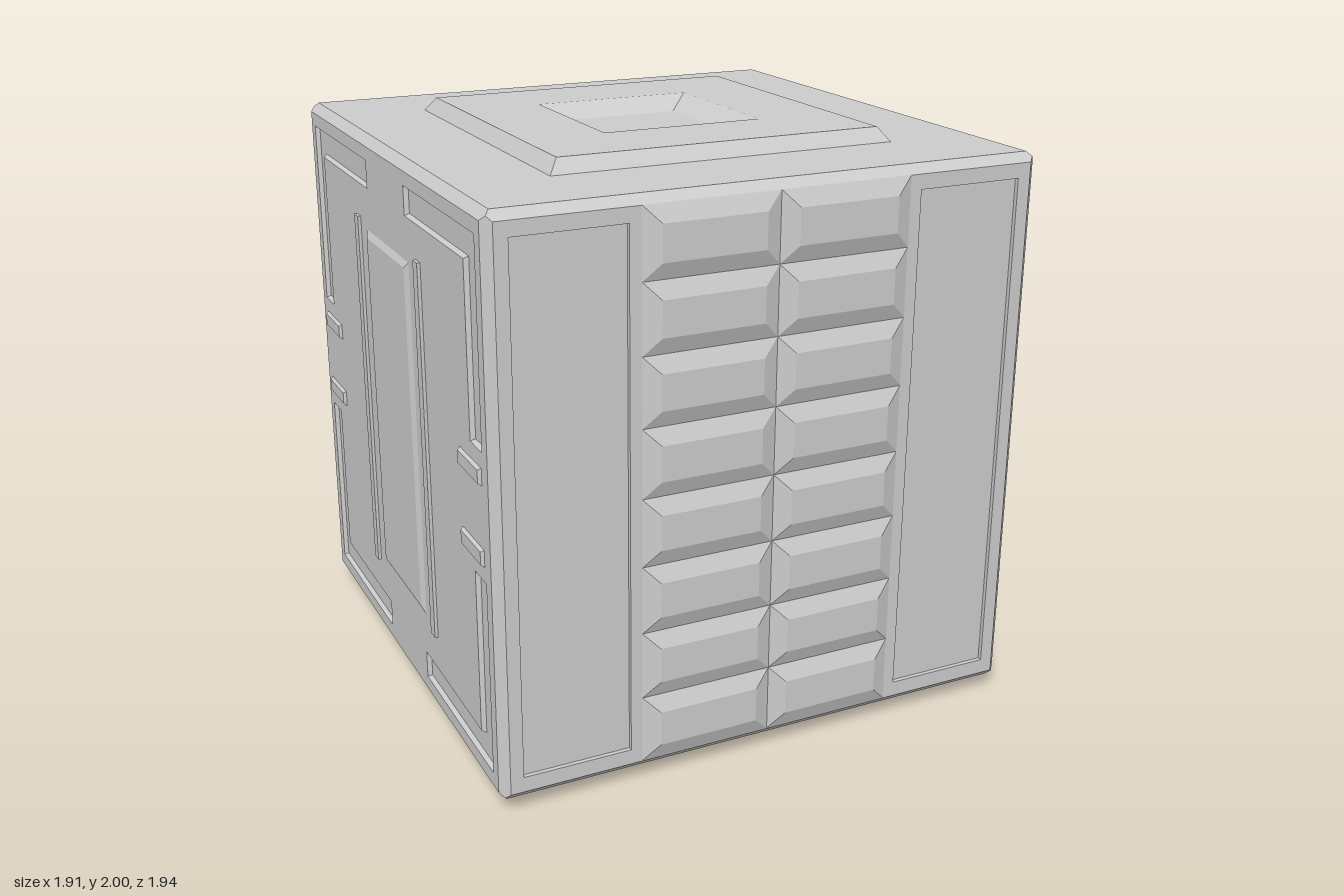
import * as THREE from 'three';
import { mergeGeometries } from 'three/addons/utils/BufferGeometryUtils.js';

const material = new THREE.MeshStandardMaterial({ color: 0xcccccc, flatShading: true });
const HALF = 0.945;     // half width and depth of the body
const HALF_Y = 0.9525;  // half height of the body
const DEPTH = 0.015;    // depth of the recesses; edge chamfers are twice as wide

// Counter-clockwise rectangle from its corners
const rect = (x0, y0, x1, y1) => [[x0, y0], [x1, y0], [x1, y1], [x0, y1]];

// Mirror an outline and keep it counter-clockwise
function mirror(points, sx, sy) {
  const out = points.map(([x, y]) => [x * sx, y * sy]);
  return sx * sy < 0 ? out.reverse() : out;
}

// Move every edge of a right-angled outline inward by d
function inset(points, d) {
  const n = points.length;
  const normal = (a, b) => [-Math.sign(b[1] - a[1]), Math.sign(b[0] - a[0])];
  return points.map((p, i) => {
    const a = normal(points[(i + n - 1) % n], p);
    const b = normal(p, points[(i + 1) % n]);
    return [p[0] + d * (a[0] + b[0]), p[1] + d * (a[1] + b[1])];
  });
}

// Band of quads from an outer outline at z0 to an inner outline at z1
function wall(outer, z0, inner, z1) {
  const pos = [];
  outer.forEach((p, i) => {
    const j = (i + 1) % outer.length;
    const a = [...p, z0], b = [...outer[j], z0], c = [...inner[j], z1], d = [...inner[i], z1];
    pos.push(...a, ...b, ...c, ...a, ...c, ...d);
  });
  const g = new THREE.BufferGeometry();
  g.setAttribute('position', new THREE.Float32BufferAttribute(pos, 3));
  g.computeVertexNormals();
  return g;
}

// Flat face with holes at height z
function cap(outline, z, holes = []) {
  const toVec = (pts) => pts.map(([x, y]) => new THREE.Vector2(x, y));
  const shape = new THREE.Shape(toVec(outline));
  shape.holes = holes.map((h) => new THREE.Path(toVec(h)));
  const g = new THREE.ShapeGeometry(shape).toNonIndexed();
  g.deleteAttribute('uv');
  return g.translate(0, 0, z);
}

function add(parent, name, geometries) {
  const mesh = new THREE.Mesh(mergeGeometries(geometries), material);
  mesh.name = name;
  parent.add(mesh);
}

// Raised pad with sloping sides
function pad(parent, name, outline, bevel, z0, z1) {
  const top = inset(outline, bevel);
  add(parent, name, [wall(outline, z0, top, z1), cap(top, z1)]);
}

// Chamfered face plate, with recesses given as { outline, bevel }
function plate(parent, hx, hy, d, recesses = []) {
  const base = rect(-hx + DEPTH, -hy + DEPTH, hx - DEPTH, hy - DEPTH);
  const top = inset(base, DEPTH);
  add(parent, 'facePlate', [
    wall(base, d - DEPTH, top, d),
    cap(top, d, recesses.map((r) => r.outline)),
    ...recesses.map((r) => wall(r.outline, d, inset(r.outline, r.bevel), d - DEPTH)),
  ]);
}

// Front and back: two tall recesses beside a double column of louvres
function louvredFace() {
  const face = new THREE.Group();
  face.name = 'louvredFace';
  const tall = rect(0.5, -0.87, 0.87, 0.873);
  plate(face, HALF, HALF_Y, HALF, [1, -1].map((s) => ({ outline: mirror(tall, s, 1), bevel: 0 })));
  const rows = 8, bottom = -0.92, pitch = 0.2304;
  for (let i = 0; i < rows; i++) {
    const y = bottom + i * pitch;
    for (const x of [-0.46, 0]) {
      pad(face, 'louvre', rect(x, y, x + 0.46, y + pitch), 0.056, HALF, 0.968);
    }
  }
  return face;
}

// Left and right: corner grooves, centre panel, ribs and short bars
function sideFace() {
  const face = new THREE.Group();
  face.name = 'sideFace';
  const corner = [[0.87, 0.215], [0.87, 0.875], [0.21, 0.875], [0.21, 0.778], [0.77, 0.778], [0.77, 0.215]];
  const recesses = [];
  for (const sx of [1, -1]) {
    for (const sy of [1, -1]) {
      recesses.push({ outline: mirror(corner, sx, sy), bevel: 0.008 });
      pad(face, 'shortBar', mirror(rect(0.67, 0.105, 0.862, 0.162), sx, sy), 0.007, HALF, 0.956);
    }
    pad(face, 'longRib', mirror(rect(0.31, -0.65, 0.353, 0.66), sx, 1), 0, HALF, 0.956);
  }
  plate(face, HALF, HALF_Y, HALF, recesses);
  pad(face, 'centrePanel', rect(-0.23, -0.62, 0.23, 0.63), 0.022, HALF, 0.956);
  return face;
}

// Top and bottom: raised square with a sunken centre
function endFace() {
  const face = new THREE.Group();
  face.name = 'endFace';
  plate(face, HALF, HALF, HALF_Y);
  const square = (h) => rect(-h, -h, h, h);
  add(face, 'raisedSquare', [
    wall(square(0.605), HALF_Y, square(0.57), 1),
    cap(square(0.57), 1, [square(0.285)]),
    wall(square(0.285), 1, square(0.2), HALF_Y),
  ]);
  return face;
}

export function createModel() {
  const model = new THREE.Group();
  model.name = 'crate';

  // Core that forms the floors of the recesses
  const core = new THREE.Mesh(
    new THREE.BoxGeometry(2 * (HALF - DEPTH), 2 * (HALF_Y - DEPTH), 2 * (HALF - DEPTH)), material);
  core.name = 'core';
  model.add(core);

  // Opposite faces are turned copies
  for (const s of [0, 1]) {
    const louvred = louvredFace();
    louvred.rotation.y = s * Math.PI;
    const side = sideFace();
    side.rotation.y = Math.PI / 2 + s * Math.PI;
    const end = endFace();
    end.rotation.x = -Math.PI / 2 + s * Math.PI;
    model.add(louvred, side, end);
  }
  model.children.forEach((part) => { part.position.y = 1; });
  return model;
}
